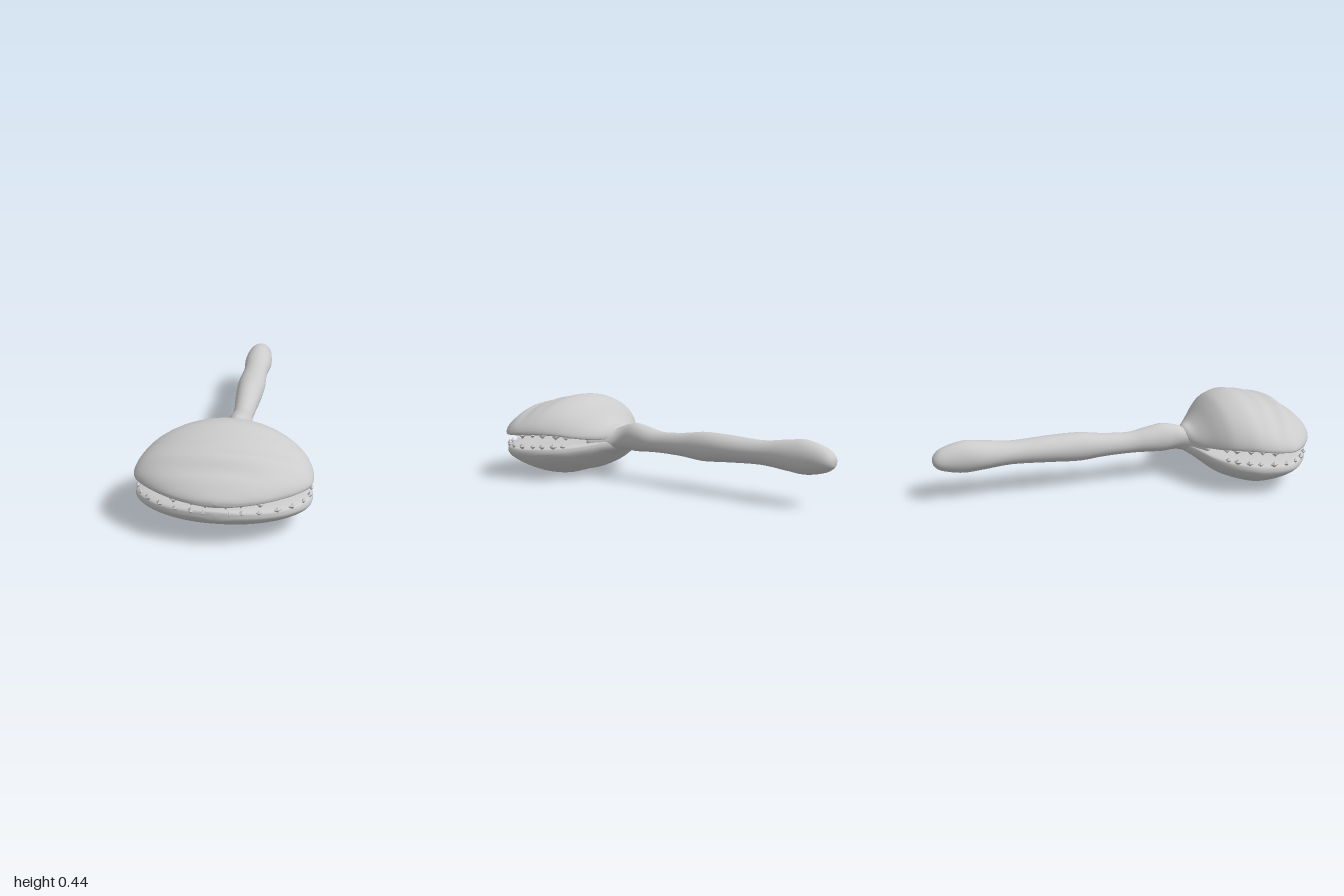
import * as THREE from 'three';

const material = new THREE.MeshStandardMaterial({ color: 0xcccccc, side: THREE.DoubleSide });

// Smooth sampler through stations [z, halfWidth, top, middle, bottom]
function sampler(stations) {
  const plan = new THREE.CatmullRomCurve3(
    stations.map((s) => new THREE.Vector3(s[0], s[1], 0)), false, 'catmullrom', 0.5);
  const side = new THREE.CatmullRomCurve3(
    stations.map((s) => new THREE.Vector3(s[2], s[3], s[4])), false, 'catmullrom', 0.5);
  return (t) => {
    const p = plan.getPoint(t), q = side.getPoint(t);
    return { z: p.x, w: Math.max(p.y, 0), top: q.x, mid: q.y, bot: q.z };
  };
}

// Loft of rounded sections along z; powers set how flat the upper and lower halves are
function loft(name, stations, topPower, botPower, detail = () => 0) {
  const at = sampler(stations), rows = 72, cols = 56;
  const pos = [], index = [];
  for (let i = 0; i <= rows; i++) {
    const s = at(i / rows);
    for (let j = 0; j < cols; j++) {
      const a = (j / cols) * Math.PI * 2, sin = Math.sin(a);
      const x = s.w * Math.cos(a);
      const y = sin >= 0
        ? s.mid + (s.top - s.mid) * Math.pow(sin, topPower)
        : s.mid - (s.mid - s.bot) * Math.pow(-sin, botPower);
      pos.push(x, y + detail(x, s.z, sin), s.z);
      if (i < rows) {
        const k = (j + 1) % cols;
        const p = i * cols + j, q = i * cols + k;
        index.push(p, q, p + cols, q, q + cols, p + cols);
      }
    }
  }
  const g = new THREE.BufferGeometry();
  g.setAttribute('position', new THREE.Float32BufferAttribute(pos, 3));
  g.setIndex(index);
  g.computeVertexNormals();
  const mesh = new THREE.Mesh(g, material);
  mesh.name = name;
  return mesh;
}

// Wavy stalk, flaring into the throat between the jaws
const STALK = [
  [-1, 0, 0.235, 0.23, 0.225], [-0.99, 0.035, 0.26, 0.23, 0.2],
  [-0.95, 0.058, 0.292, 0.23, 0.175], [-0.85, 0.072, 0.32, 0.235, 0.155],
  [-0.75, 0.078, 0.313, 0.235, 0.163], [-0.6, 0.068, 0.295, 0.235, 0.175],
  [-0.4, 0.076, 0.303, 0.235, 0.165], [-0.25, 0.07, 0.305, 0.23, 0.155],
  [-0.12, 0.06, 0.288, 0.225, 0.165], [0.02, 0.054, 0.28, 0.222, 0.168],
  [0.12, 0.064, 0.298, 0.23, 0.165], [0.2, 0.062, 0.312, 0.235, 0.16],
  [0.27, 0.06, 0.3, 0.23, 0.165], [0.32, 0.085, 0.282, 0.22, 0.155],
  [0.37, 0.15, 0.285, 0.215, 0.14], [0.41, 0.18, 0.27, 0.215, 0.15],
  [0.45, 0.08, 0.24, 0.215, 0.19], [0.47, 0, 0.215, 0.215, 0.215],
];

const UPPER = [
  [0.29, 0, 0.25, 0.235, 0.22], [0.32, 0.075, 0.285, 0.235, 0.215],
  [0.36, 0.145, 0.3, 0.235, 0.21], [0.4, 0.205, 0.335, 0.24, 0.215],
  [0.45, 0.275, 0.392, 0.25, 0.225], [0.5, 0.325, 0.43, 0.26, 0.235],
  [0.58, 0.375, 0.448, 0.265, 0.24], [0.65, 0.4, 0.438, 0.26, 0.238],
  [0.72, 0.41, 0.42, 0.255, 0.232], [0.79, 0.4, 0.404, 0.25, 0.228],
  [0.85, 0.355, 0.383, 0.25, 0.225], [0.9, 0.295, 0.345, 0.25, 0.223],
  [0.95, 0.21, 0.308, 0.248, 0.222], [0.98, 0.125, 0.278, 0.246, 0.222],
  [0.993, 0.06, 0.26, 0.244, 0.225], [0.998, 0, 0.245, 0.242, 0.24],
];

const LOWER = [
  [0.29, 0, 0.215, 0.2, 0.185], [0.32, 0.075, 0.22, 0.195, 0.155],
  [0.36, 0.155, 0.218, 0.185, 0.13], [0.4, 0.23, 0.212, 0.175, 0.1],
  [0.45, 0.295, 0.208, 0.165, 0.062], [0.5, 0.34, 0.205, 0.16, 0.038],
  [0.57, 0.38, 0.203, 0.155, 0.014], [0.64, 0.4, 0.2, 0.15, 0.001],
  [0.72, 0.408, 0.198, 0.15, 0.016], [0.79, 0.392, 0.197, 0.15, 0.045],
  [0.85, 0.345, 0.196, 0.152, 0.067], [0.9, 0.28, 0.196, 0.155, 0.09],
  [0.94, 0.195, 0.195, 0.158, 0.116], [0.963, 0.115, 0.195, 0.162, 0.136],
  [0.973, 0.055, 0.192, 0.165, 0.148], [0.977, 0, 0.176, 0.172, 0.168],
];

// Small diamond teeth set along both sides of a jaw rim
function teeth(name, stations, params, height, inset) {
  const group = new THREE.Group();
  group.name = name;
  const at = sampler(stations);
  const geometry = new THREE.OctahedronGeometry(1);
  geometry.scale(0.021, 0.018, 0.013);
  const toothMaterial = new THREE.MeshStandardMaterial({ color: 0xcccccc, flatShading: true });
  params.forEach((t, i) => {
    const s = at(t), e = at(Math.min(t + 0.01, 1)), b = at(t - 0.01);
    for (const side of [-1, 1]) {
      const tooth = new THREE.Mesh(geometry, toothMaterial);
      tooth.name = 'tooth';
      tooth.position.set(side * (s.w - inset), height(s), s.z - (t > 0.8 ? inset * 0.6 : 0));
      // Face outward from the rim
      tooth.rotation.y = side * Math.atan2(e.z - b.z, -(b.w - e.w) * -1) * 1;
      tooth.rotation.y = Math.atan2(side * (e.z - b.z), b.w - e.w);
      tooth.scale.setScalar(0.75 + 0.25 * ((i * 2) % 3) / 2);
      group.add(tooth);
    }
  });
  return group;
}

export function createModel() {
  const model = new THREE.Group();
  model.name = 'jawedStalk';
  model.add(loft('stalk', STALK, 1, 1));

  // Upper jaw with faint wrinkles across its forward slope
  model.add(loft('upperJaw', UPPER, 1.2, 0.5, (x, z, sin) =>
    sin > 0 ? 0.005 * sin * Math.sin((z + x * x * 0.5) * 55) * THREE.MathUtils.smoothstep(z, 0.6, 0.75)
      * (1 - THREE.MathUtils.smoothstep(z, 0.9, 0.97)) : 0));

  // Lower jaw with a shallow groove under the chin
  model.add(loft('lowerJaw', LOWER, 0.5, 1.15, (x, z, sin) =>
    sin < 0 ? 0.012 * Math.exp(-((x / 0.05) ** 2)) * THREE.MathUtils.smoothstep(z, 0.45, 0.6)
      * (1 - THREE.MathUtils.smoothstep(z, 0.75, 0.95)) : 0));

  model.add(teeth('upperTeeth', UPPER,
    [0.29, 0.34, 0.39, 0.44, 0.5, 0.8, 0.865, 0.93], (s) => s.bot + 0.008, 0.018));
  model.add(teeth('lowerTeeth', LOWER,
    [0.29, 0.34, 0.39, 0.44, 0.5, 0.56, 0.62, 0.68, 0.74, 0.8, 0.86, 0.92], (s) => s.top - 0.013, 0.01));
  return model;
}
